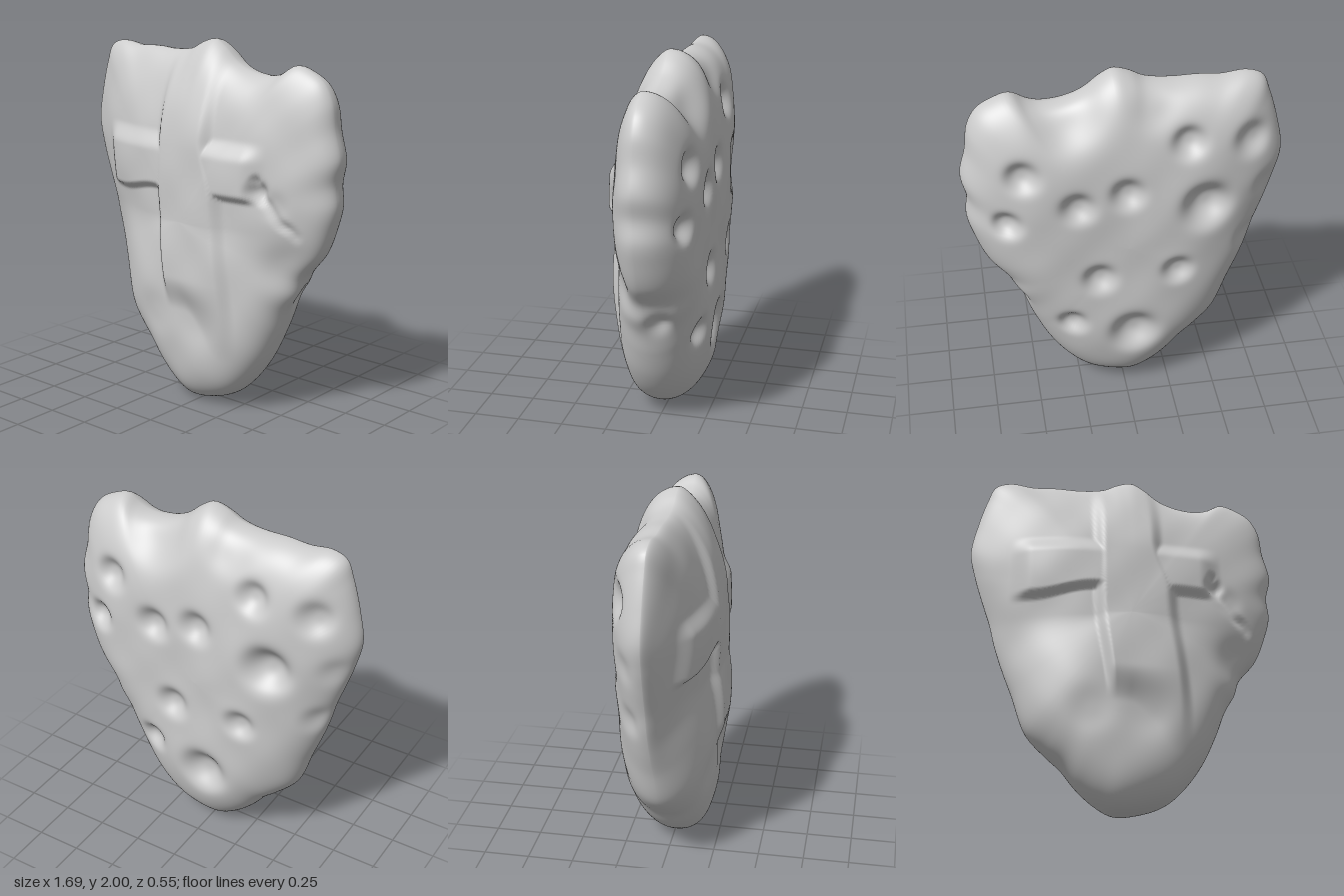
import * as THREE from 'three';

const N = 280, RINGS = 90, CY = 1.05;
const { smoothstep, lerp, clamp } = THREE.MathUtils;

// Rim of the slab, counter-clockwise from the bottom tip
const rim = [
  [-.05, 0], [.1, .02], [.22, .07], [.32, .16], [.42, .3], [.5, .47], [.55, .6], [.61, .7], [.64, .8], [.74, .93],
  [.8, 1.08], [.83, 1.2], [.82, 1.32], [.845, 1.45], [.81, 1.6], [.79, 1.74], [.74, 1.83], [.66, 1.88],
  [.57, 1.905], [.49, 1.86], [.42, 1.84], [.3, 1.85], [.2, 1.89], [.1, 1.97], [.04, 2], [-.04, 1.98],
  [-.12, 1.94], [-.25, 1.925], [-.4, 1.93], [-.52, 1.925], [-.65, 1.94], [-.73, 1.91], [-.77, 1.82],
  [-.82, 1.65], [-.85, 1.48], [-.82, 1.33], [-.78, 1.2], [-.73, 1.05], [-.7, .93], [-.65, .78], [-.6, .65],
  [-.52, .43], [-.42, .32], [-.33, .24], [-.25, .14], [-.15, .05],
];

// Finger dents in the back: x, y, radius, depth
const backDents = [
  [.54, 1.53, .07, .06], [.63, 1.24, .06, .06], [.26, 1.33, .07, .055], [0, 1.39, .07, .055],
  [-.32, 1.66, .07, .06], [-.66, 1.63, .075, .06], [-.42, 1.27, .1, .09], [-.78, 1.31, .07, .03],
  [.15, .85, .07, .055], [-.27, .87, .065, .05], [-.7, .97, .07, .06], [.3, .54, .06, .055],
  [-.04, .45, .1, .08], [.3, 1.84, .14, .07], [-.15, 1.86, .1, .03],
];

// Hollows on the front, with a fine crack running down from the arm's broken end
const frontDents = [
  [.47, 1.27, .04, .045], [.46, 1.33, .02, .02], [.56, 1.2, .06, .012],
  [.64, .86, .12, .04], [.1, .52, .12, .012], [-.2, .5, .1, .01],
];
for (let i = 0; i <= 14; i++) {
  const t = i / 14;
  frontDents.push([lerp(.49, .67, t), lerp(1.23, 1.04, t) + .012 * Math.sin(9 * t), .022, .007]);
}

const dentDepth = (list, x, y) => list.reduce((sum, [dx, dy, r, d]) => {
  const q = ((x - dx) ** 2 + (y - dy) ** 2) / (r * r);
  return sum + d * Math.exp(-.7 * q ** 1.4);
}, 0);

const waves = (x, y, k) =>
  .004 * Math.sin(7 * x + 3 * y + k) + .004 * Math.sin(7 * y - 5 * x + 2 * k) +
  .003 * Math.sin(17 * x + 3 * k) * Math.sin(15 * y + k);

// Raised cross: 1 inside, 0 outside, crisp undersides and worn upper edges
function cross(x, y) {
  const down = 1 - smoothstep(y, .5, 1.2);
  const left = lerp(-.17, -.1, down);
  const right = y > 1.2 ? lerp(.23, .15, smoothstep(y, 1.2, 1.5)) : lerp(.23, .3, down);
  const post = smoothstep(x, left - .03, left + .03) * (1 - smoothstep(x, right - .04, right + .04)) *
    smoothstep(y, lerp(.55, .3, smoothstep(x, 0, .25)), .74) * (1 - .5 * smoothstep(y, 1.45, 1.85));
  const under = 1.21 - .05 * smoothstep(-x, .2, .5);
  const arm = smoothstep(y, under - .02, under + .03) * (1 - smoothstep(y, 1.41, 1.52)) *
    smoothstep(x, -.65, -.53) * (1 - smoothstep(x, .38, .52));
  return Math.max(post, .9 * arm);
}

// Point on the slab: s runs 0 at the middle to 1 at the rim
function slabPoint(edge, soft, s, front) {
  const x = s * lerp(soft.x, edge.x, s ** 4), y = CY + s * (lerp(soft.y, edge.y, s ** 4) - CY);
  const dir = Math.atan2(edge.y - CY, edge.x);
  const low = Math.max(0, -Math.sin(dir)) ** 2, high = Math.max(0, Math.sin(dir)) ** 3;
  const west = Math.max(0, -Math.cos(dir)), east = Math.max(0, Math.cos(dir));
  const inner = 1 - s ** 10;
  const mid = -.02 + s * (.015 * east - .015 * west + .02 * high + .03 * low);
  let z;
  if (front) {
    // A tapering dome plus a blunt edge on the left side of the slab
    const blunt = .09 * east;
    const p = 1.9 - .3 * east + .7 * high + 4 * low, q = .7 - .1 * high - .27 * low;
    const h = (.25 - blunt) * (1 - s ** p) ** q + blunt * Math.sqrt(1 - s ** 10);
    z = mid + h + inner * (.045 * cross(x, y) - .008 + waves(x, y, 1) - dentDepth(frontDents, x, y));
  } else {
    const h = .25 * (1 - s ** (3.4 - west + 2 * Math.max(low, high, east))) ** .5;
    z = mid - h + inner * (waves(x, y, 4) + dentDepth(backDents, x, y)) - .02 * low * s * inner;
  }
  // Thumb dent in the side edge
  const g = Math.exp(-((x - .58) ** 2 + (y - .68) ** 2 + (z + .07) ** 2) / .004);
  return [x - .04 * g, y + .015 * g, z];
}

export function createModel() {
  const curve = new THREE.CatmullRomCurve3(rim.map(([x, y]) => new THREE.Vector3(x, y, 0)), true);
  const edge = curve.getSpacedPoints(N).slice(0, N);

  // Smoothed rim that guides the inner rings
  const soft = edge.map((_, i) => {
    const sum = new THREE.Vector3();
    for (let d = -14; d <= 14; d++) sum.add(edge[(i + d + N) % N]);
    return sum.divideScalar(29);
  });

  // Rings from the front middle, over the rim, to the back middle
  const positions = [], index = [];
  for (let j = 0; j <= 2 * RINGS; j++) {
    const s = clamp(Math.sin(j / RINGS * Math.PI / 2), 0, 1);
    for (let i = 0; i < N; i++) positions.push(...slabPoint(edge[i], soft[i], s, j <= RINGS));
  }
  for (let j = 0; j < 2 * RINGS; j++) {
    for (let i = 0; i < N; i++) {
      const k = (i + 1) % N;
      const a = j * N + i, b = (j + 1) * N + i, c = (j + 1) * N + k, d = j * N + k;
      if (j < 2 * RINGS - 1) index.push(a, b, c);
      else index.push(a, b, d);
      if (j > 0 && j < 2 * RINGS - 1) index.push(a, c, d);
    }
  }
  const geometry = new THREE.BufferGeometry();
  geometry.setAttribute('position', new THREE.Float32BufferAttribute(positions, 3));
  geometry.setIndex(index);
  geometry.computeVertexNormals();

  const slab = new THREE.Mesh(geometry, new THREE.MeshStandardMaterial({ color: 0xcccccc }));
  slab.name = 'claySlab';
  const group = new THREE.Group();
  group.name = 'crossTablet';
  group.add(slab);
  return group;
}
